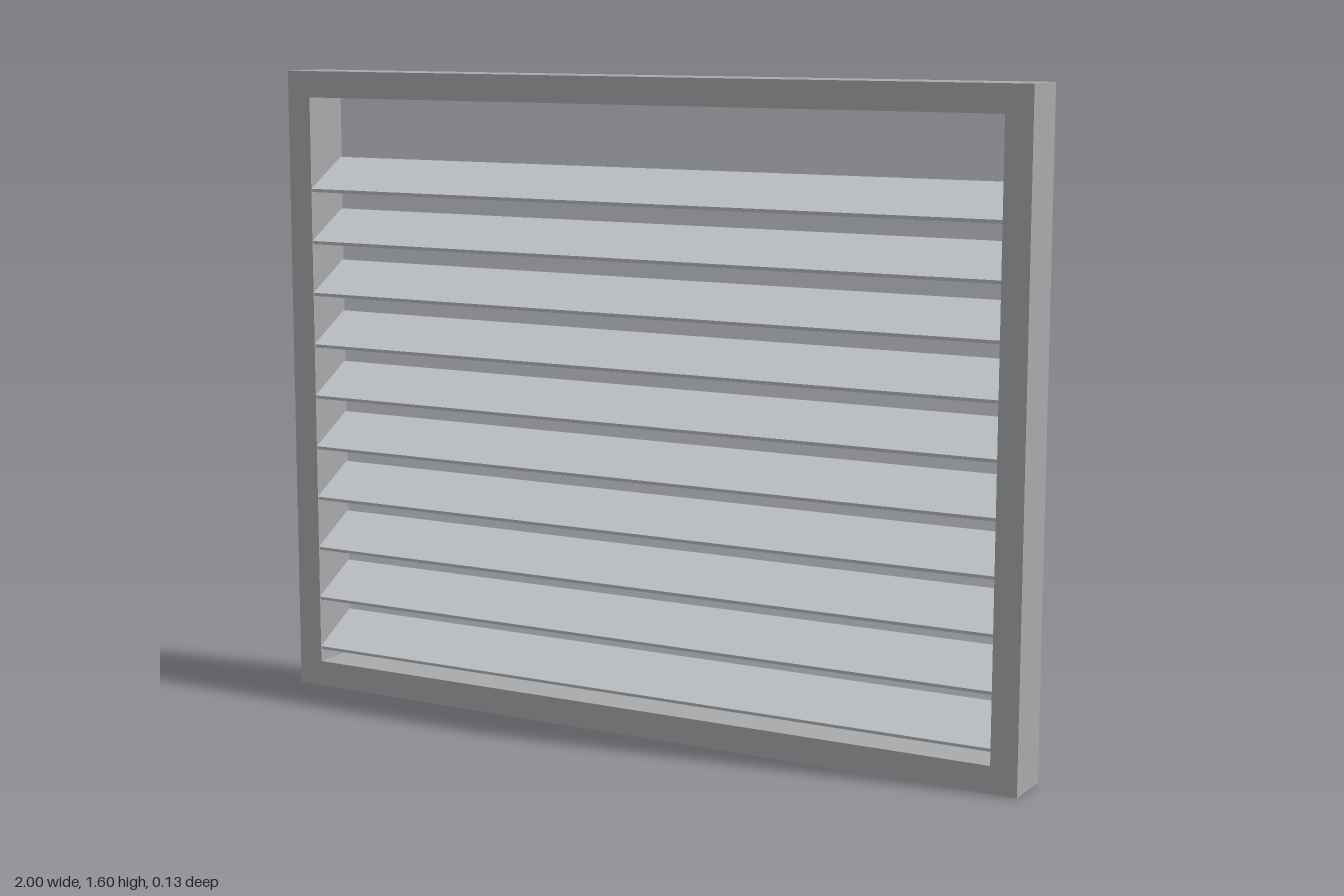
import * as THREE from 'three';

const WIDTH = 2, HEIGHT = 1.6, DEPTH = 0.133, BORDER = 0.066;
const SLATS = 10, PITCH = 0.133, FIRST_Y = 0.139, TILT = Math.PI / 6;

export function createModel() {
  const model = new THREE.Group();
  model.name = 'louvreVent';

  const frameGrey = new THREE.MeshStandardMaterial({ color: 0xa9aaac });
  frameGrey.name = 'frameGrey';
  const slatGrey = new THREE.MeshStandardMaterial({ color: 0xc3c7ca });
  slatGrey.name = 'slatGrey';

  // Rectangular surround with an open middle
  const x = WIDTH / 2, ix = x - BORDER;
  const outline = new THREE.Shape([
    new THREE.Vector2(-x, 0), new THREE.Vector2(x, 0),
    new THREE.Vector2(x, HEIGHT), new THREE.Vector2(-x, HEIGHT),
  ]);
  outline.holes.push(new THREE.Path([
    new THREE.Vector2(-ix, BORDER), new THREE.Vector2(-ix, HEIGHT - BORDER),
    new THREE.Vector2(ix, HEIGHT - BORDER), new THREE.Vector2(ix, BORDER),
  ]));
  const frameGeometry = new THREE.ExtrudeGeometry(outline, { depth: DEPTH, bevelEnabled: false });
  frameGeometry.translate(0, 0, -DEPTH / 2);
  const frame = new THREE.Mesh(frameGeometry, frameGrey);
  frame.name = 'frame';
  model.add(frame);

  // Tilted slats, low at the front and high at the back
  const slats = new THREE.Group();
  slats.name = 'slats';
  const slatGeometry = new THREE.BoxGeometry(ix * 2, 0.01, 0.148);
  for (let i = 0; i < SLATS; i++) {
    const slat = new THREE.Mesh(slatGeometry, slatGrey);
    slat.name = `slat${i + 1}`;
    slat.position.y = FIRST_Y + i * PITCH;
    slat.rotation.x = TILT;
    slats.add(slat);
  }
  model.add(slats);

  return model;
}
